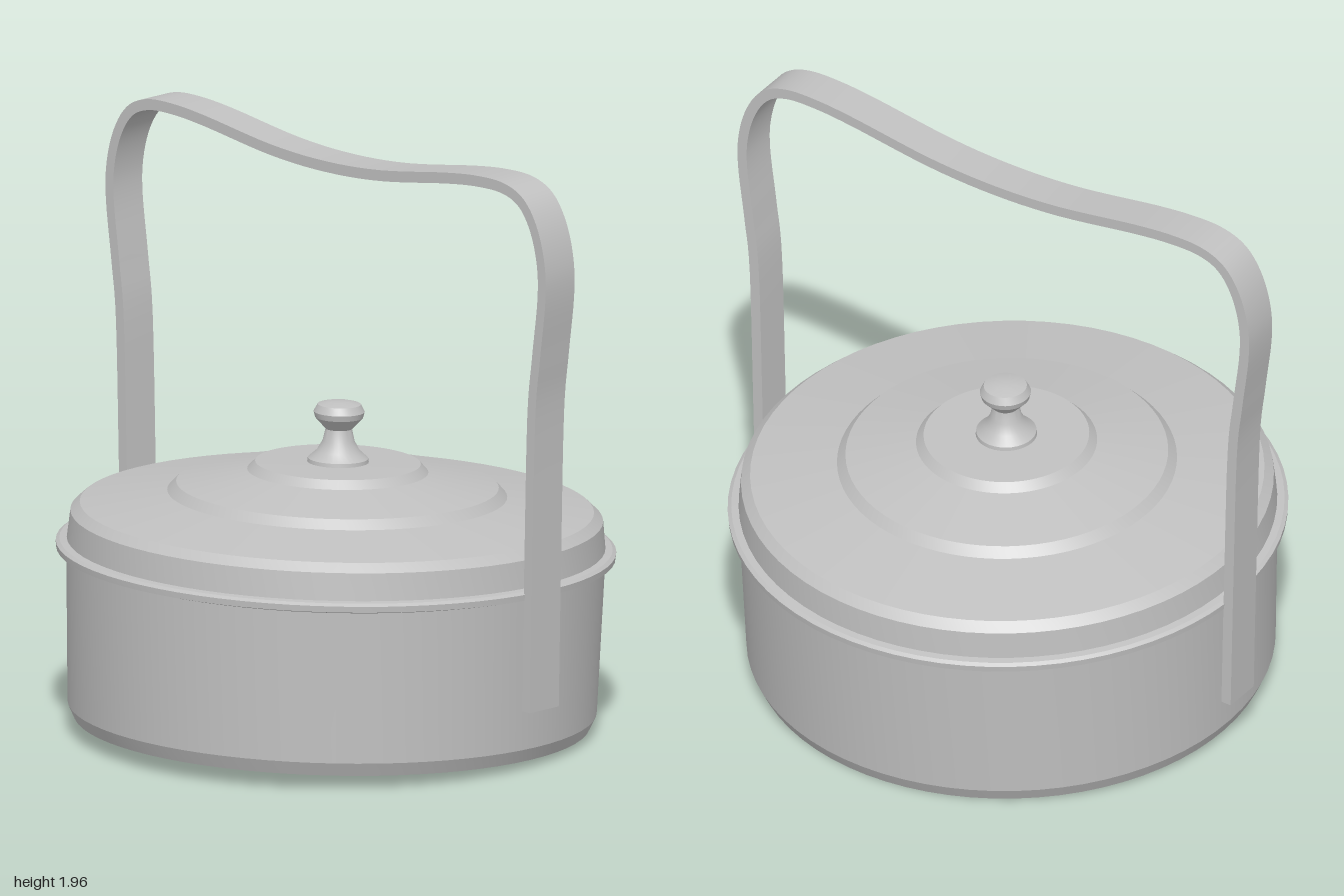
import * as THREE from 'three';
import { toCreasedNormals } from 'three/addons/utils/BufferGeometryUtils.js';

export function createModel() {
  const model = new THREE.Group();
  model.name = 'lidded pot';
  const metal = new THREE.MeshStandardMaterial({ color: 0xc0c0c0 });
  metal.name = 'grey metal';

  // The pot and its lid lean slightly backwards, the handle stays upright
  const pot = new THREE.Group();
  pot.name = 'pot';
  pot.position.set(0, 0.033, 0.023);
  pot.rotation.x = -0.033;
  model.add(pot);

  const turned = (name, profile, segments) => {
    const points = profile.map(([r, y]) => new THREE.Vector2(r, y));
    const geometry = toCreasedNormals(new THREE.LatheGeometry(points, segments), 0.4);
    const mesh = new THREE.Mesh(geometry, metal);
    mesh.name = name;
    pot.add(mesh);
  };

  // Tapered body with a bevelled foot
  turned('body', [[0, 0], [0.835, 0], [0.856, 0.045], [0.872, 0.553]], 72);

  // Thin flange where body and lid meet
  turned('rim', [[0.865, 0.545], [0.905, 0.556], [0.907, 0.576], [0.895, 0.584], [0.86, 0.588]], 72);

  // Stepped lid
  turned('lid', [[0.872, 0.58], [0.862, 0.677], [0.832, 0.705], [0.55, 0.75],
    [0.522, 0.78], [0.293, 0.826], [0.268, 0.853], [0, 0.857]], 72);

  // Knob with a flared base and waist
  turned('knob', [[0.1, 0.853], [0.098, 0.868], [0.07, 0.893], [0.052, 0.925], [0.043, 0.965],
    [0.078, 1.003], [0.083, 1.022], [0.07, 1.046], [0.035, 1.055], [0, 1.056]], 32);

  // Carrying handle: a flat strap swept along a mirrored centre line
  const half = [[0.909, 0.22], [0.92, 0.72], [0.933, 1.2], [0.954, 1.4], [0.979, 1.6],
    [0.976, 1.72], [0.945, 1.83], [0.89, 1.91], [0.81, 1.946], [0.7, 1.951], [0.55, 1.937], [0.25, 1.893]];
  const path = [...half, [0, 1.88], ...half.map(([x, y]) => [-x, y]).reverse()];
  const curve = new THREE.SplineCurve(path.map(([x, y]) => new THREE.Vector2(x, y)));
  const outer = [], inner = [];
  const steps = 120, thickness = 0.036, width = 0.133;
  for (let i = 0; i <= steps; i++) {
    const p = curve.getPoint(i / steps), t = curve.getTangent(i / steps);
    const normal = new THREE.Vector2(t.y, -t.x).multiplyScalar(thickness / 2);
    outer.push(p.clone().add(normal));
    inner.unshift(p.clone().sub(normal));
  }
  const strap = new THREE.ExtrudeGeometry(new THREE.Shape([...outer, ...inner]),
    { depth: width, bevelEnabled: false });
  strap.translate(0, 0, -0.0145 - width / 2);
  const handle = new THREE.Mesh(toCreasedNormals(strap, 0.5), metal);
  handle.name = 'handle';
  model.add(handle);

  return model;
}
